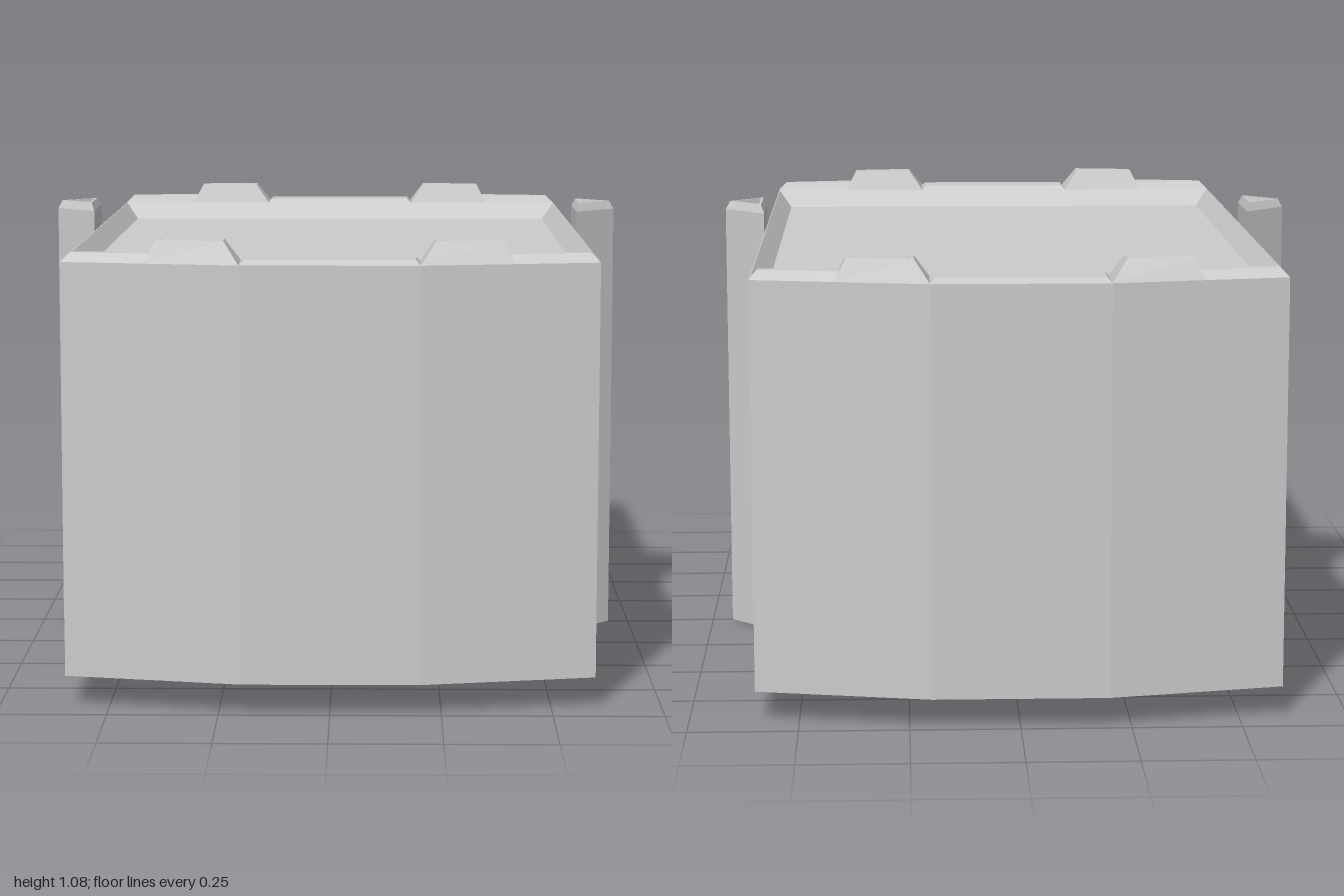
import * as THREE from 'three';

const material = new THREE.MeshStandardMaterial({ color: 0xcccccc, flatShading: true, side: THREE.DoubleSide });

// Skin stacked rings of [x, z] corners; each ring is { y, pts }. The last ring is capped.
function loft(name, rings) {
  const p0 = rings[0].pts;
  let area = 0;
  p0.forEach(([x, z], i) => {
    const [x2, z2] = p0[(i + 1) % p0.length];
    area += x * z2 - x2 * z;
  });
  const loops = rings.map(({ y, pts }) => {
    const loop = pts.map(([x, z]) => [x, y, z]);
    return area > 0 ? loop.reverse() : loop; // anticlockwise from above
  });
  const pos = [];
  const n = p0.length;
  for (let r = 0; r < loops.length - 1; r++) {
    const a = loops[r], b = loops[r + 1];
    for (let i = 0; i < n; i++) {
      const j = (i + 1) % n;
      pos.push(...a[i], ...a[j], ...b[j], ...a[i], ...b[j], ...b[i]);
    }
  }
  const top = loops[loops.length - 1];
  for (let i = 1; i < n - 1; i++) pos.push(...top[0], ...top[i], ...top[i + 1]);
  const geo = new THREE.BufferGeometry();
  geo.setAttribute('position', new THREE.Float32BufferAttribute(pos, 3));
  geo.computeVertexNormals();
  const mesh = new THREE.Mesh(geo, material);
  mesh.name = name;
  return mesh;
}

// Eight-cornered plan with slightly bowed ends
const plan = (x, zCorner, zMid) => [
  [-x, zCorner], [-0.2, zMid], [0.2, zMid], [x, zCorner],
  [x, -zCorner], [0.2, -zMid], [-0.2, -zMid], [-x, -zCorner],
];

// Four-cornered plan whose outer edge runs from zA (at x0) to zB (at x1)
const quad = (x0, x1, zIn, zA, zB, sx, sz) =>
  [[x0, zA], [x1, zB], [x1, zIn], [x0, zIn]].map(([x, z]) => [x * sx, z * sz]);

// Triangular pillar plan, pointing outwards, inset by d
const triangle = (d, s) => [
  [s * (0.6 + d), 0.1 - d * 2.41], [s * (0.7 - d * 1.41), 0], [s * (0.6 + d), -0.1 + d * 2.41],
];

export function createModel() {
  const group = new THREE.Group();

  // Walls, open underneath, with a sloped rim down to the sunken roof
  group.add(loft('wallsAndRoof', [
    { y: 0.07, pts: plan(0.6, 0.92, 1) },
    { y: 1.01, pts: plan(0.6, 0.92, 1) },
    { y: 1.01, pts: plan(0.598, 0.865, 0.865) },
    { y: 0.97, pts: plan(0.565, 0.81, 0.81) },
  ]));

  for (const s of [1, -1]) {
    // Side pillar with a bevelled, hollowed top
    group.add(loft(s > 0 ? 'leftPillar' : 'rightPillar', [
      { y: 0, pts: triangle(0, s) },
      { y: 1.06, pts: triangle(0, s) },
      { y: 1.08, pts: triangle(0.008, s) },
      { y: 1.08, pts: triangle(0.014, s) },
      { y: 1.06, pts: triangle(0.018, s) },
    ]));

    // Parapet coping across each end
    const end = s > 0 ? 'front' : 'back';
    group.add(loft(end + 'MiddleCoping', [
      { y: 1.01, pts: quad(-0.2, 0.2, 0.865, 1, 1, 1, s) },
      { y: 1.02, pts: quad(-0.19, 0.19, 0.88, 0.97, 0.97, 1, s) },
    ]));
    for (const sx of [1, -1]) {
      group.add(loft(end + 'CornerCoping', [
        { y: 1.01, pts: quad(0.38, 0.6, 0.865, 0.964, 0.92, sx, s) },
        { y: 1.03, pts: quad(0.38, 0.58, 0.88, 0.938, 0.9, sx, s) },
      ]));
      // Raised block with a shallow recess
      group.add(loft(end + 'RaisedBlock', [
        { y: 1.01, pts: quad(0.2, 0.41, 0.865, 1, 0.958, sx, s) },
        { y: 1.06, pts: quad(0.235, 0.385, 0.89, 0.955, 0.93, sx, s) },
        { y: 1.06, pts: quad(0.245, 0.377, 0.898, 0.945, 0.922, sx, s) },
        { y: 1.05, pts: quad(0.25, 0.372, 0.902, 0.94, 0.918, sx, s) },
      ]));
    }
  }
  return group;
}
